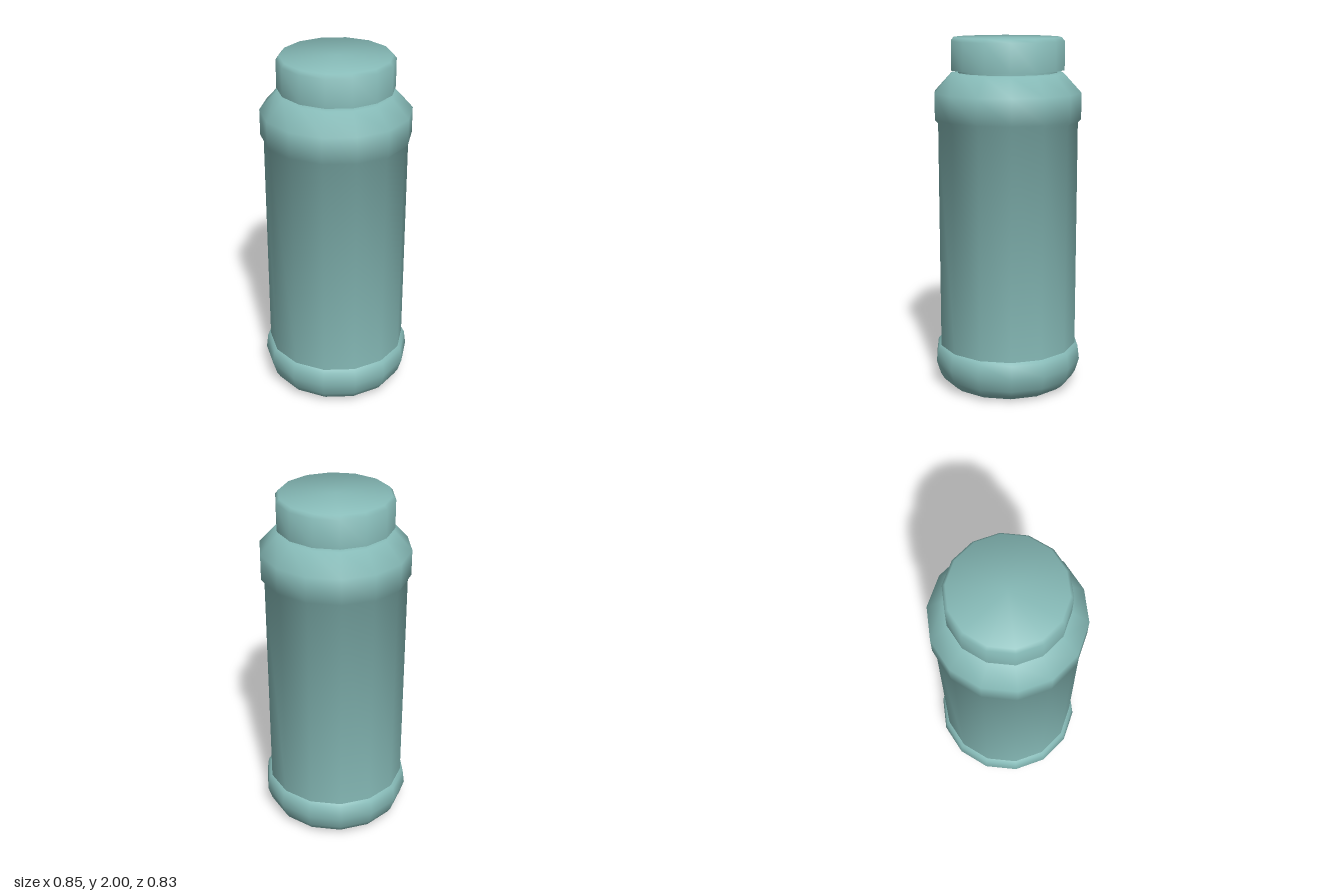
import * as THREE from 'three';
import { toCreasedNormals } from 'three/addons/utils/BufferGeometryUtils.js';

const SIDES = 14;

export function createModel() {
  const group = new THREE.Group();
  group.name = 'bottle';
  const material = new THREE.MeshStandardMaterial({ color: 0x86bab7 });

  // Turns a [radius, height] profile, listed bottom to top, with a corner on +x
  function turned(name, profile, crease) {
    const points = profile.map(([r, y]) => new THREE.Vector2(r, y));
    const lathe = new THREE.LatheGeometry(points, SIDES, Math.PI / 2);
    const mesh = new THREE.Mesh(toCreasedNormals(lathe, crease), material);
    mesh.name = name;
    group.add(mesh);
  }

  // Rounded foot, straight wall, raised shoulder band and narrow neck
  turned('body', [
    [0, 0], [0.31, 0], [0.345, 0.01], [0.38, 0.038], [0.402, 0.075],
    [0.425, 0.15], [0.415, 0.23], [0.397, 0.245],
    [0.397, 1.535], [0.415, 1.555], [0.415, 1.7],
    [0.318, 1.805], [0.28, 1.808], [0.28, 1.825],
  ], 0.85);

  // Closed cap with a bevelled top edge
  turned('cap', [
    [0, 1.822], [0.32, 1.822], [0.32, 1.98], [0.303, 2], [0, 2],
  ], 0.95);

  return group;
}
